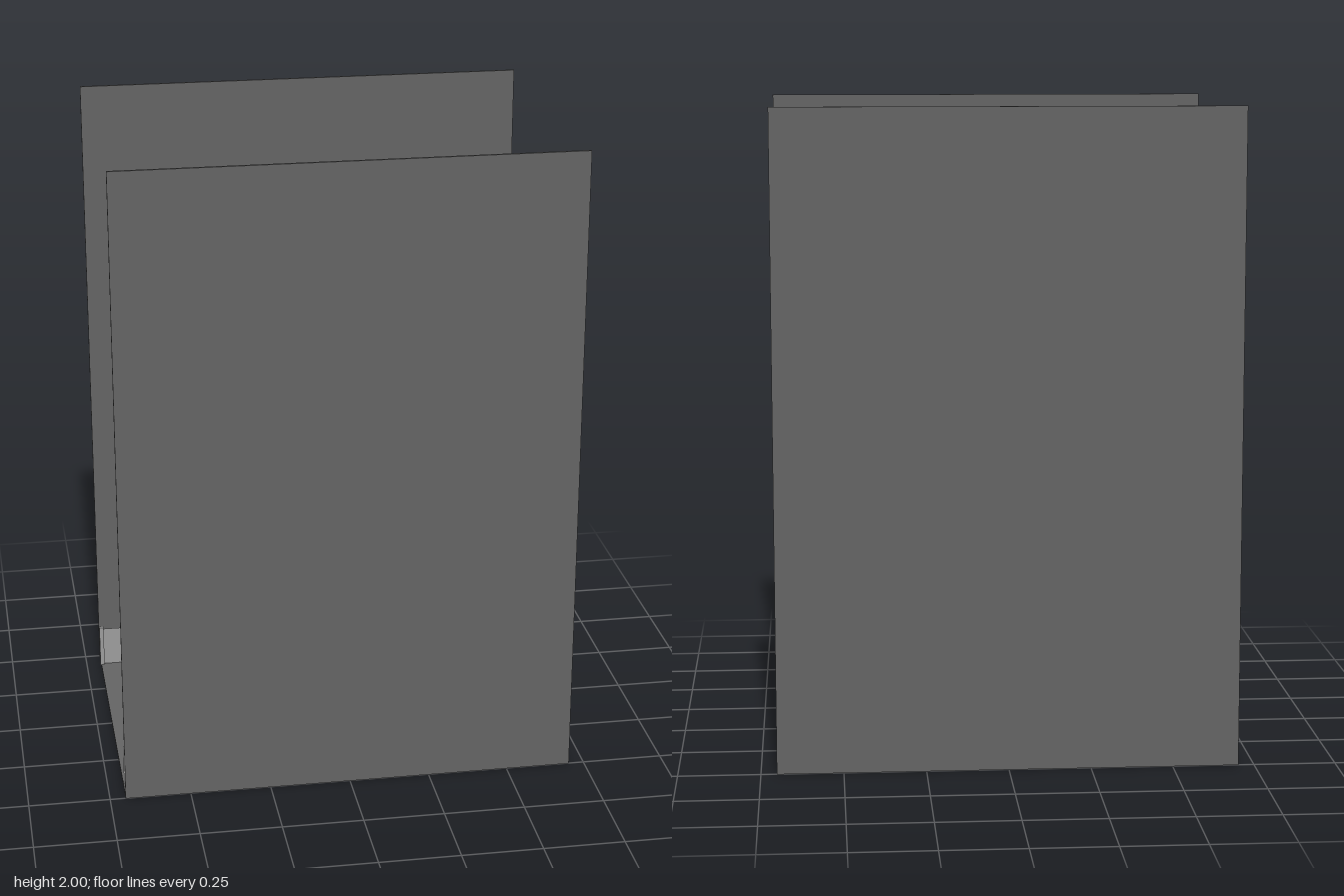
import * as THREE from 'three';

const shade = (color, side = THREE.FrontSide) =>
  new THREE.MeshStandardMaterial({ color, flatShading: true, side });
const dark = shade(0x636363);
const metal = shade(0x9b9b9b);
const railing = shade(0x9b9b9b, THREE.DoubleSide);
const glass = shade(0xf4f4f4);
const pale = shade(0xcccccc);

function add(parent, name, geometry, material, x = 0, y = 0, z = 0) {
  const mesh = new THREE.Mesh(geometry, material);
  mesh.name = name;
  mesh.position.set(x, y, z);
  parent.add(mesh);
  return mesh;
}

// Square tapered block from y0 to y1 with the given half widths
function taper(y0, half0, y1, half1) {
  const k = Math.SQRT2;
  const g = new THREE.CylinderGeometry(half1 * k, half0 * k, y1 - y0, 4);
  g.rotateY(Math.PI / 4);
  g.translate(0, (y0 + y1) / 2, 0);
  return g;
}

// Square lamp post: plinth, tapering shaft, flared lantern, roof and finial
function lampPost(x, z) {
  const lamp = new THREE.Group();
  lamp.name = 'lampPost';
  add(lamp, 'lampPlinth', taper(0.005, 0.03, 0.15, 0.03), metal);
  add(lamp, 'lampShaft', taper(0.15, 0.022, 0.53, 0.016), metal);
  add(lamp, 'lampLantern', taper(0.53, 0.018, 0.58, 0.026), glass);
  add(lamp, 'lampRim', taper(0.578, 0.03, 0.586, 0.03), metal);
  add(lamp, 'lampRoof', taper(0.586, 0.026, 0.622, 0.012), glass);
  add(lamp, 'lampFinial', new THREE.SphereGeometry(0.009, 8, 6), metal, 0, 0.627, 0);
  lamp.position.set(x, 0, z);
  return lamp;
}

// Thin slab with a gabled top, its width along z
function gravestoneGeometry() {
  const w = 0.075, t = 0.013;
  const s = new THREE.Shape();
  s.moveTo(-w, 0);
  s.lineTo(w, 0);
  s.lineTo(w, 0.18);
  s.lineTo(0, 0.22);
  s.lineTo(-w, 0.18);
  const g = new THREE.ExtrudeGeometry(s, { depth: t, bevelEnabled: false });
  g.translate(0, 0, -t / 2);
  g.rotateY(Math.PI / 2);
  return g;
}

// One long side: tall wall, low railing with posts, two lamps
function boundarySide() {
  const side = new THREE.Group();
  side.name = 'boundarySide';
  add(side, 'tallWall', new THREE.BoxGeometry(1.404, 2, 0.008), dark, 0, 1, -0.498);
  for (const x of [-0.698, 0.034]) {
    add(side, 'railingPost', new THREE.BoxGeometry(0.014, 0.14, 0.014), metal, x, 0.075, -0.423);
  }
  for (const [x, width] of [[-0.333, 0.734], [0.367, 0.666]]) {
    add(side, 'railingPanel', new THREE.PlaneGeometry(width, 0.13), railing, x, 0.073, -0.423);
  }
  side.add(lampPost(-0.315, -0.46), lampPost(0.378, -0.46));
  return side;
}

export function createModel() {
  const model = new THREE.Group();
  model.name = 'graveyardPlot';

  add(model, 'floor', new THREE.BoxGeometry(1.404, 0.008, 1), dark, 0, 0.004, 0);

  // The front side is the back side turned half way round
  const back = boundarySide();
  const front = boundarySide();
  front.rotation.y = Math.PI;
  model.add(back, front);

  // Gravestones: x, z, turn
  const stone = gravestoneGeometry();
  for (const [x, z, turn] of [
    [-0.229, -0.3, -0.2],
    [0.417, -0.188, 0],
    [-0.431, 0.107, -0.19],
    [0.137, 0.196, 0.31],
  ]) {
    add(model, 'gravestone', stone, pale, x, 0, z).rotation.y = turn;
  }

  return model;
}
